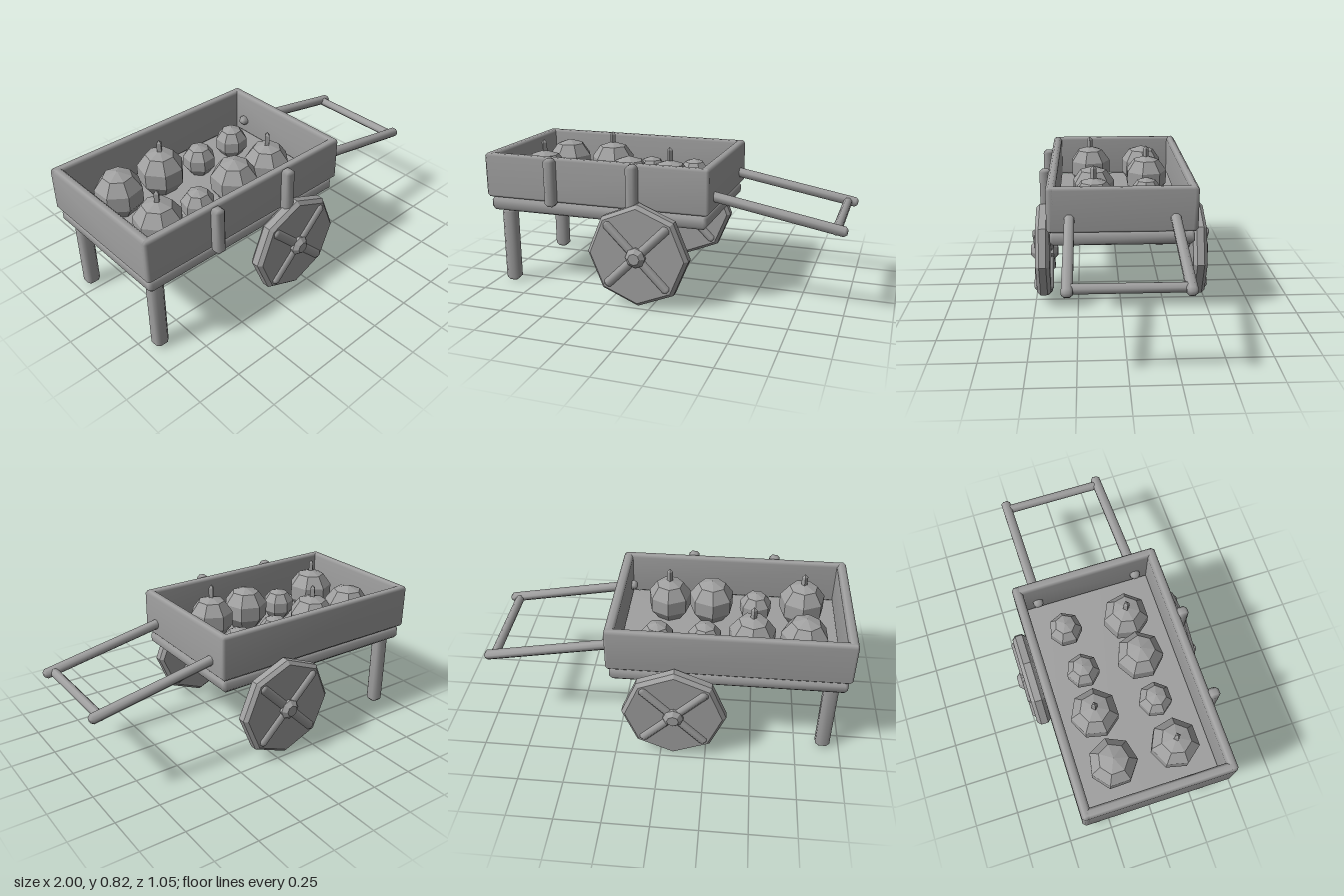
import * as THREE from 'three';
import { mergeVertices } from 'three/addons/utils/BufferGeometryUtils.js';
import { ConvexGeometry } from 'three/addons/geometries/ConvexGeometry.js';

const grey = new THREE.MeshStandardMaterial({ color: 0xa0a0a0 });
grey.name = 'plain grey';

// Softly shaded box with chamfered edges
function chamferBox(w, h, d, c) {
  const points = [];
  for (const x of [-1, 1]) for (const y of [-1, 1]) for (const z of [-1, 1]) {
    const [a, b, e] = [w / 2, h / 2, d / 2];
    points.push(
      new THREE.Vector3(x * a, y * (b - c), z * (e - c)),
      new THREE.Vector3(x * (a - c), y * b, z * (e - c)),
      new THREE.Vector3(x * (a - c), y * (b - c), z * e));
  }
  let geometry = new ConvexGeometry(points);
  geometry.deleteAttribute('normal');
  geometry = mergeVertices(geometry, 1e-5);
  geometry.computeVertexNormals();
  return geometry;
}

function flat(geometry) {
  const faceted = geometry.toNonIndexed();
  faceted.computeVertexNormals();
  return faceted;
}

function add(parent, name, geometry, x = 0, y = 0, z = 0) {
  const mesh = new THREE.Mesh(geometry, grey);
  mesh.name = name;
  mesh.position.set(x, y, z);
  parent.add(mesh);
  return mesh;
}

// Chamfered disc whose axis runs along z, with a corner at the top
function disc(radius, depth, c, sides) {
  const h = depth / 2;
  const profile = [[0, -h], [radius - c, -h], [radius, -h + c], [radius, h - c], [radius - c, h], [0, h]]
    .map(([r, y]) => new THREE.Vector2(r, y));
  return flat(new THREE.LatheGeometry(profile, sides).rotateX(Math.PI / 2));
}

function createWheel(name, z) {
  const wheel = new THREE.Group();
  wheel.name = name;
  wheel.position.set(-0.072, 0.286, z);
  add(wheel, 'wheelDisc', disc(0.285, 0.08, 0.02, 8));
  for (const angle of [Math.PI / 4, -Math.PI / 4])
    add(wheel, 'spokes', chamferBox(0.5, 0.05, 0.11, 0.014)).rotation.z = angle;
  add(wheel, 'hub', disc(0.056, 0.158, 0.024, 8));
  return wheel;
}

function createProduce(x, z, radius, hasStem, turn) {
  const produce = new THREE.Group();
  produce.name = 'produce';
  const y = 0.515 + radius * 0.8;
  produce.position.set(x, y, z);
  const body = flat(new THREE.SphereGeometry(radius, 7, 5).rotateY(-Math.PI / 2));
  add(produce, 'produceBody', body).rotation.y = turn;
  if (hasStem) {
    const top = 0.82 - y;
    const profile = [[0.017, top - 0.1], [0.017, top - 0.018], [0, top]]
      .map(([r, h]) => new THREE.Vector2(r, h));
    add(produce, 'stem', flat(new THREE.LatheGeometry(profile, 4)));
  }
  return produce;
}

export function createModel() {
  const cart = new THREE.Group();
  cart.name = 'handcart';

  // Bed and walls
  add(cart, 'bed', chamferBox(1.27, 0.076, 0.79, 0.018), -0.35, 0.478, 0);
  for (const s of [-1, 1]) {
    add(cart, 'sideWall', chamferBox(1.3, 0.25, 0.052, 0.014), -0.35, 0.645, s * 0.384);
    add(cart, 'endWall', chamferBox(0.054, 0.25, 0.796, 0.014), -0.35 + s * 0.623, 0.645, 0);
  }

  // Upright battens on the front wall
  for (const x of [-0.587, -0.112])
    add(cart, 'batten', chamferBox(0.06, 0.266, 0.065, 0.016), x, 0.638, 0.429);

  // Legs, wheels and handle shafts
  for (const s of [-1, 1]) {
    add(cart, 'leg', chamferBox(0.08, 0.44, 0.08, 0.02), -0.908, 0.22, s * 0.318);
    cart.add(createWheel(s > 0 ? 'frontWheel' : 'backWheel', s * 0.445));
    const shaft = add(cart, 'handleShaft', chamferBox(0.795, 0.05, 0.054, 0.015), 0.605, 0.543, s * 0.286);
    shaft.rotation.z = -0.18;
  }
  add(cart, 'handleGrip', chamferBox(0.046, 0.046, 0.62, 0.014), 0.94, 0.478, 0);

  // Load: x, z, radius, stem, turn
  const load = [
    [-0.75, -0.17, 0.135, false, 0.25], [-0.47, -0.18, 0.135, true, 0],
    [-0.215, -0.165, 0.095, false, 0.1], [0.045, -0.185, 0.095, false, 0.2],
    [-0.75, 0.168, 0.135, true, 0], [-0.487, 0.155, 0.095, false, 0],
    [-0.235, 0.152, 0.133, false, 0.1], [0.006, 0.152, 0.13, true, 0],
  ];
  for (const item of load) cart.add(createProduce(...item));

  return cart;
}
